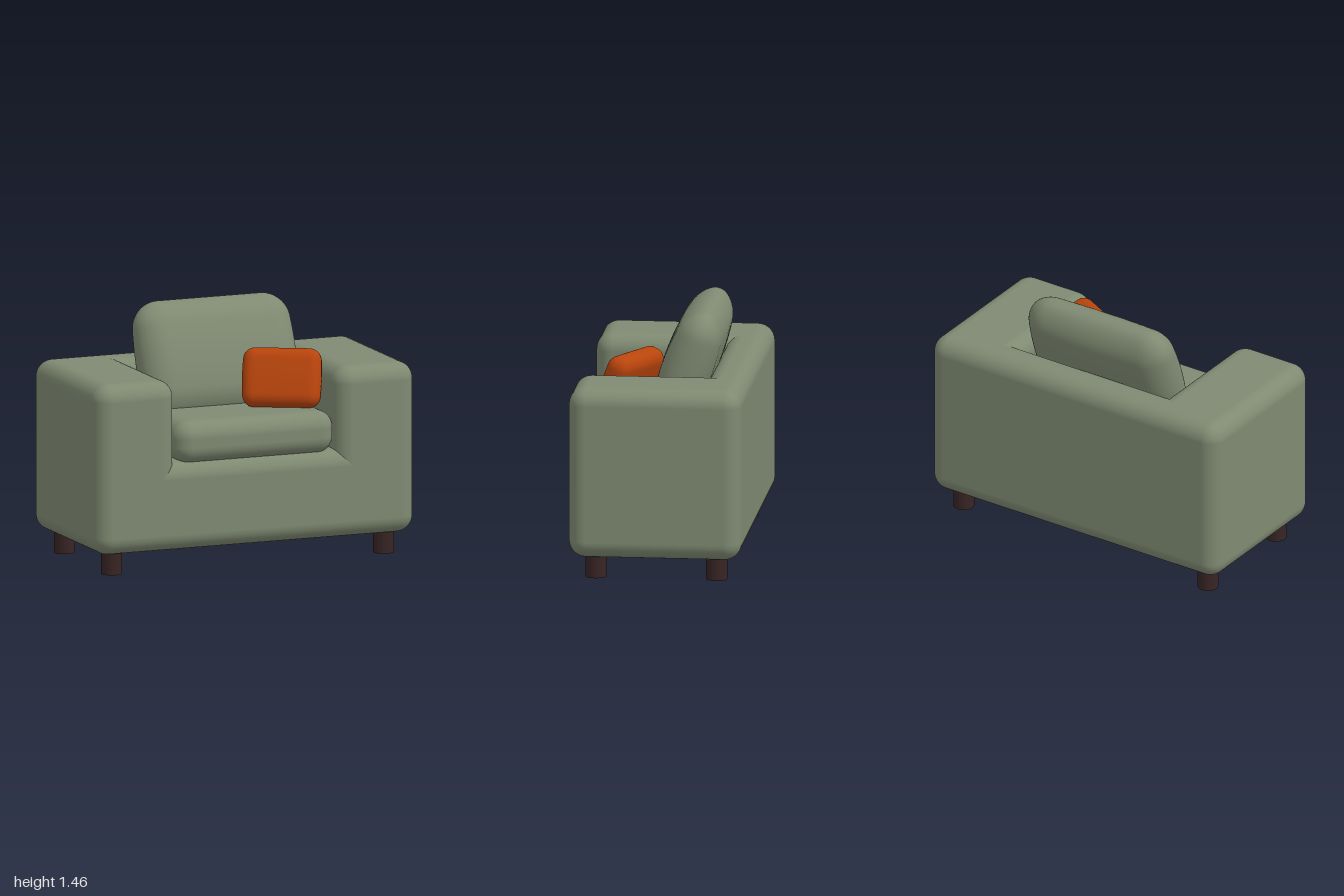
import * as THREE from 'three';
import { mergeVertices } from 'three/addons/utils/BufferGeometryUtils.js';
import { RoundedBoxGeometry } from 'three/addons/geometries/RoundedBoxGeometry.js';

// Rounded box with a fine grid whose faces swell towards the middle
function pillowGeometry(w, h, d, r, taper) {
  const geo = new THREE.BoxGeometry(w, h, d, 32, 28, 14);
  geo.deleteAttribute('uv');
  geo.deleteAttribute('normal');
  const merged = mergeVertices(geo, 1e-5);
  const pos = merged.attributes.position;
  const limit = new THREE.Vector3(w / 2 - r, h / 2 - r, d / 2 - r);
  const p = new THREE.Vector3();
  const core = new THREE.Vector3();
  for (let i = 0; i < pos.count; i++) {
    p.fromBufferAttribute(pos, i);
    core.copy(p).clamp(limit.clone().negate(), limit);
    p.sub(core).setLength(r).add(core);
    const u = p.x / (w / 2), v = p.y / (h / 2);
    p.z *= (1 - taper * v * v) * (1 - 0.4 * taper * u * u);
    p.x *= 1 - 0.04 * v * v;
    pos.setXYZ(i, p.x, p.y, p.z);
  }
  merged.computeVertexNormals();
  return merged;
}

export function createModel() {
  const model = new THREE.Group();
  model.name = 'armchair';

  const fabric = new THREE.MeshStandardMaterial({ color: 0x7f8a72 });
  fabric.name = 'sage fabric';
  const orange = new THREE.MeshStandardMaterial({ color: 0xb8440c });
  orange.name = 'orange fabric';
  const wood = new THREE.MeshStandardMaterial({ color: 0x382424 });
  wood.name = 'dark wood';

  const add = (name, geometry, material, x, y, z, parent = model) => {
    const mesh = new THREE.Mesh(geometry, material);
    mesh.name = name;
    mesh.position.set(x, y, z);
    parent.add(mesh);
    return mesh;
  };
  const block = (w, h, d) => new RoundedBoxGeometry(w, h, d, 6, 0.1);

  // Upholstered frame: overlapping base, back and two arms
  const frame = new THREE.Group();
  frame.name = 'frame';
  model.add(frame);
  add('base', block(2, 0.52, 1), fabric, 0, 0.387, 0, frame);
  add('backrest', block(2, 1, 0.25), fabric, 0, 0.627, -0.375, frame);
  for (const [name, side] of [['leftArm', 1], ['rightArm', -1]]) {
    add(name, block(0.5, 1, 1), fabric, side * 0.75, 0.627, 0, frame);
  }

  // Seat cushion
  add('seatCushion', block(1, 0.25, 0.82), fabric, 0, 0.752, 0.09);

  // Leaning back cushion
  const back = add('backCushion', pillowGeometry(0.98, 0.69, 0.31, 0.15, 0.3), fabric, 0, 1.13, -0.125);
  back.rotation.x = -0.35;

  // Scatter pillow, turned and leaning
  const pillow = add('scatterPillow', pillowGeometry(0.46, 0.345, 0.155, 0.065, 0.1), orange, 0.273, 1.04, 0.212);
  pillow.rotation.set(-0.35, -0.49, 0, 'YXZ');

  // Legs
  const legGeometry = new THREE.CylinderGeometry(0.061, 0.061, 0.15, 32);
  for (const x of [-0.85, 0.85]) {
    for (const z of [-0.35, 0.35]) {
      add((z > 0 ? 'front' : 'back') + (x > 0 ? 'Left' : 'Right') + 'Leg', legGeometry, wood, x, 0.075, z);
    }
  }

  return model;
}
